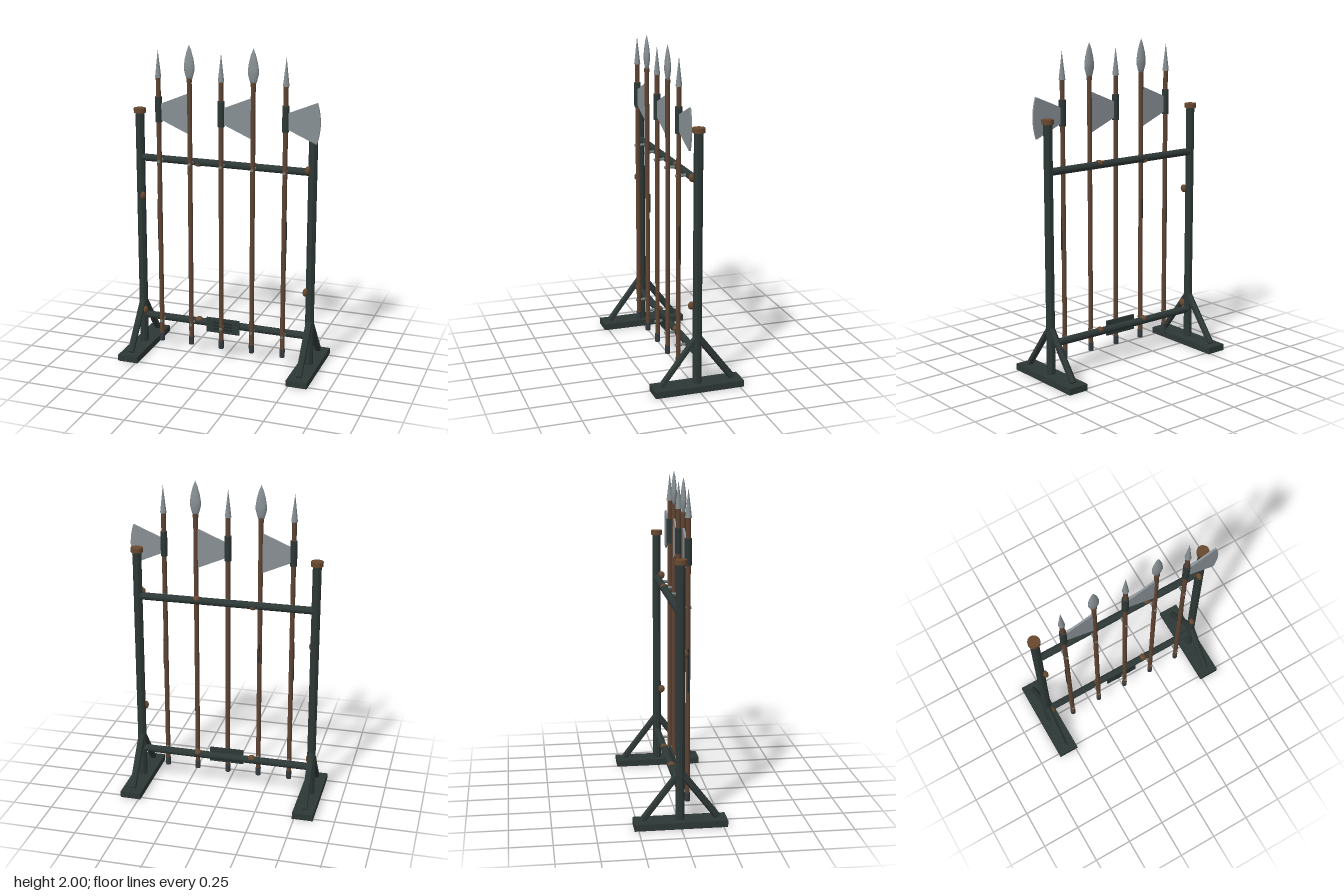
import * as THREE from 'three';

const mat = (name, color) => {
  const m = new THREE.MeshStandardMaterial({ color, flatShading: false });
  m.name = name;
  return m;
};

export function createModel() {
  const iron = mat('darkIron', 0x2d3836);
  const shade = mat('blackIron', 0x202827);
  const wood = mat('wood', 0x5e4433);
  const rust = mat('rust', 0x68482f);
  const steel = mat('steel', 0x889094);
  const pegMetal = mat('pegMetal', 0x74807b);
  const ferruleMetal = mat('ferruleMetal', 0x343b40);

  const model = new THREE.Group();
  model.name = 'weaponRack';

  const add = (parent, name, geo, material, x = 0, y = 0, z = 0) => {
    const mesh = new THREE.Mesh(geo, material);
    mesh.name = name;
    mesh.position.set(x, y, z);
    parent.add(mesh);
    return mesh;
  };
  // Faceted bar between two points
  const flat = (geo) => {
    const g = geo.toNonIndexed();
    g.computeVertexNormals();
    return g;
  };
  const bar = (parent, name, a, b, r, sides, material) => {
    const dir = b.clone().sub(a);
    const mesh = add(parent, name, flat(new THREE.CylinderGeometry(r, r, dir.length(), sides)), material);
    mesh.position.copy(a).add(b).multiplyScalar(0.5);
    mesh.quaternion.setFromUnitVectors(new THREE.Vector3(0, 1, 0), dir.normalize());
    return mesh;
  };
  const V = (x, y, z) => new THREE.Vector3(x, y, z);

  // Uprights with feet, caps and diagonal braces
  const postX = 0.553;
  for (const s of [-1, 1]) {
    const side = new THREE.Group();
    side.name = s < 0 ? 'rightUpright' : 'leftUpright';
    side.position.x = s * postX;
    model.add(side);
    add(side, 'foot', new THREE.BoxGeometry(0.13, 0.04, 0.55), iron, 0, 0.02, 0);
    const post = add(side, 'post', flat(new THREE.CylinderGeometry(0.027, 0.027, 1.52, 8)), iron, 0, 0.8, 0);
    post.rotation.y = Math.PI / 8;
    add(side, 'cap', new THREE.CylinderGeometry(0.037, 0.037, 0.028, 16), rust, 0, 1.567, 0);
    for (const d of [-1, 1]) {
      bar(side, 'brace', V(0, 0.045, d * 0.222), V(0, 0.335, 0), 0.021, 6, iron);
    }
  }

  // Horizontal rails
  const railYs = [1.272, 0.225];
  for (const y of railYs) {
    bar(model, 'rail', V(-postX, y, 0), V(postX, y, 0), 0.023, 12, iron);
  }

  // Rust lumps on posts and rails
  const lump = new THREE.SphereGeometry(0.025, 12, 8);
  const lumps = [
    [-0.53, 1.03, 0.028], [0.53, 0.52, 0.028], [0.53, 1.29, 0.028], [-0.53, 0.265, 0.028],
    [0.18, 1.283, 0], [-0.17, 1.262, 0], [0.18, 0.236, 0], [-0.17, 0.238, 0],
  ];
  lumps.forEach(([x, y, z], i) => {
    const m = add(model, 'rustLump', lump, rust, x, y, z);
    m.scale.set(i < 4 ? 0.65 : 1, i < 4 ? 1 : 0.75, i < 4 ? 0.9 : 1);
  });

  // Plaque on the lower rail with raised bars
  add(model, 'plaque', new THREE.BoxGeometry(0.218, 0.095, 0.012), iron, -0.002, 0.223, 0.026);
  for (const y of [0.202, 0.223, 0.244]) {
    add(model, 'plaqueBar', new THREE.BoxGeometry(0.12, 0.009, 0.008), shade, 0, y, 0.035);
  }

  // Shared weapon geometry
  const shaftGeo = new THREE.CylinderGeometry(0.0145, 0.0145, 1.7, 10);
  const ferruleGeo = new THREE.CylinderGeometry(0.017, 0.016, 0.052, 10);
  const sleeveGeo = new THREE.CylinderGeometry(0.021, 0.021, 0.155, 12);
  const spikeGeo = new THREE.ConeGeometry(0.02, 0.17, 8);
  const leafGeo = new THREE.LatheGeometry([
    [0, 0], [0.016, 0], [0.026, 0.03], [0.034, 0.062], [0.034, 0.085],
    [0.027, 0.13], [0.015, 0.175], [0, 0.212],
  ].map(([x, y]) => new THREE.Vector2(x, y)), 12);
  leafGeo.scale(1, 1, 0.52);

  const bladeShape = new THREE.Shape();
  bladeShape.moveTo(0.01, -0.045);
  bladeShape.lineTo(0.19, -0.123);
  bladeShape.quadraticCurveTo(0.23, 0, 0.19, 0.123);
  bladeShape.lineTo(0.01, 0.048);
  bladeShape.closePath();
  const bladeGeo = new THREE.ExtrudeGeometry(bladeShape, { depth: 0.012, bevelEnabled: false, curveSegments: 10 });
  bladeGeo.translate(0, 0, -0.006);

  // Five polearms, alternating axe and spear, held on pegs
  const weaponZ = 0.065;
  for (let i = 0; i < 5; i++) {
    const isAxe = i % 2 === 0;
    const arm = new THREE.Group();
    arm.name = isAxe ? 'poleaxe' : 'spear';
    arm.position.set(-0.4 + i * 0.2, 0, weaponZ);
    model.add(arm);
    add(arm, 'shaft', shaftGeo, wood, 0, 0.95, 0);
    add(arm, 'ferrule', ferruleGeo, ferruleMetal, 0, 0.116, 0);
    if (isAxe) {
      add(arm, 'spike', spikeGeo, steel, 0, 1.876, 0);
      add(arm, 'sleeve', sleeveGeo, iron, 0, 1.597, 0);
      add(arm, 'axeBlade', bladeGeo, steel, 0, 1.583, 0);
    } else {
      add(arm, 'collar', new THREE.CylinderGeometry(0.017, 0.017, 0.02, 10), wood, 0, 1.785, 0);
      add(arm, 'spearHead', leafGeo, steel, 0, 1.788, 0);
    }
    for (const y of railYs) {
      bar(arm, 'peg', V(0, y, -weaponZ), V(0, y, 0.019), 0.009, 8, pegMetal);
    }
  }

  // Dark grain slivers on some shafts
  for (const [x, y, z, h] of [[-0.413, 0.9, weaponZ, 0.26], [0.413, 0.87, weaponZ, 0.2], [-0.2, 0.94, weaponZ - 0.014, 0.12]]) {
    add(model, 'grainSliver', new THREE.BoxGeometry(0.008, h, 0.008), shade, x, y, z);
  }

  return model;
}
